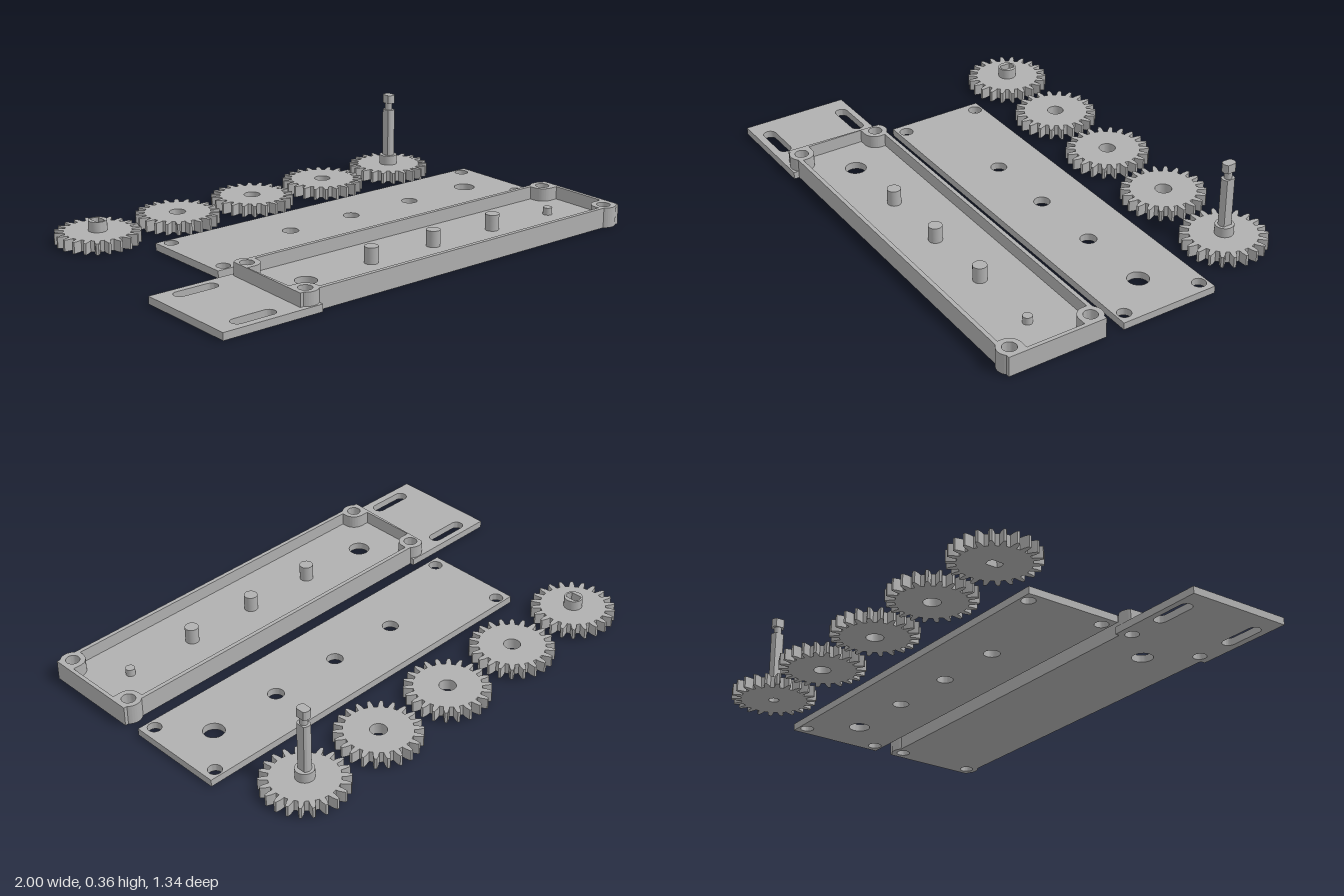
import * as THREE from 'three';
import { toCreasedNormals } from 'three/addons/utils/BufferGeometryUtils.js';

export function createModel() {
  const grey = new THREE.MeshStandardMaterial({ color: 0xb0b0b0 });
  grey.name = 'plain grey';
  const model = new THREE.Group();
  model.name = 'gearboxKit';

  // Shapes are drawn in plan (shape y = world z) and extruded between two heights
  const slab = (name, shape, holes, bottom, top, parent = model) => {
    shape.holes.push(...holes);
    const g = new THREE.ExtrudeGeometry(shape, { depth: top - bottom, bevelEnabled: false, curveSegments: 16 });
    g.rotateX(Math.PI / 2).translate(0, top, 0);
    return add(name, toCreasedNormals(g, 0.45), parent);
  };
  const add = (name, geometry, parent = model) => {
    const mesh = new THREE.Mesh(geometry, grey);
    mesh.name = name;
    parent.add(mesh);
    return mesh;
  };
  const post = (name, x, z, r, bottom, top, parent = model) =>
    add(name, new THREE.CylinderGeometry(r, r, top - bottom, 32).translate(x, (top + bottom) / 2, z), parent);
  const polygon = (pts) => new THREE.Shape(pts.map(([x, z]) => new THREE.Vector2(x, z)));
  const circle = (x, z, r) => new THREE.Shape().absarc(x, z, r, 0, Math.PI * 2, false);
  const slot = (x0, x1, z, r) => new THREE.Shape()
    .absarc(x1 - r, z, r, -Math.PI / 2, Math.PI / 2, false)
    .absarc(x0 + r, z, r, Math.PI / 2, Math.PI * 1.5, false)
    .closePath();
  // Circle with two flats facing left and right
  const flatted = (r, half) => {
    const a = Math.acos(half / r);
    return new THREE.Shape()
      .absarc(0, 0, r, a, Math.PI - a, false)
      .absarc(0, 0, r, Math.PI + a, Math.PI * 2 - a, false)
      .closePath();
  };

  const endX = [-0.6, 0.95], axleX = [-0.145, 0.17, 0.488];
  const cornerHoles = (z0, z1) => endX.flatMap((x) => [circle(x, z0, 0.028), circle(x, z1, 0.028)]);

  // Lid
  slab('lid', polygon([[-0.65, -0.265], [1, -0.265], [1, 0.152], [-0.65, 0.152]]), [
    ...cornerHoles(-0.229, 0.115),
    ...axleX.map((x) => circle(x, -0.057, 0.033)),
    circle(0.805, -0.057, 0.043),
  ], 0, 0.03);

  // Tray: floor with mounting tab, then walls with screw bosses
  const zA = 0.23, zB = 0.645, bossA = 0.265, bossB = 0.61, bossR = 0.05, mid = 0.4375;
  const swell = Math.asin((bossA - zA) / bossR);
  const bulgeA = (s, x) => s.absarc(x, bossA, bossR, Math.PI + swell, Math.PI * 2 - swell, false);
  const bulgeB = (s, x) => s.absarc(x, bossB, bossR, swell, Math.PI - swell, false);

  const floor = new THREE.Shape().moveTo(-1, 0.212).lineTo(-0.565, 0.212).lineTo(-0.565, zA);
  bulgeA(floor, endX[1]);
  floor.lineTo(1, zA).lineTo(1, zB);
  bulgeB(floor, endX[1]);
  floor.lineTo(-0.565, zB).lineTo(-0.565, 0.667).lineTo(-1, 0.667).closePath();
  slab('trayFloor', floor, [
    ...cornerHoles(bossA, bossB),
    circle(-0.46, mid, 0.043),
    slot(-0.925, -0.735, bossA, 0.027),
    slot(-0.925, -0.735, bossB, 0.027),
  ], 0, 0.03);

  const wall = new THREE.Shape().moveTo(-0.65, zA);
  endX.forEach((x) => bulgeA(wall, x));
  wall.lineTo(1, zA).lineTo(1, zB);
  [...endX].reverse().forEach((x) => bulgeB(wall, x));
  wall.lineTo(-0.65, zB).closePath();

  // Cavity, its corners rounded inward around the bosses
  const xi = [-0.634, 0.984], zi = [0.247, 0.628], H = Math.PI / 2;
  const cavity = new THREE.Shape().moveTo(endX[0] + bossR, zi[0])
    .lineTo(endX[1] - bossR, zi[0])
    .absarc(endX[1], bossA, bossR, Math.PI, H, true)
    .lineTo(xi[1], bossA + bossR).lineTo(xi[1], bossB - bossR)
    .absarc(endX[1], bossB, bossR, -H, -Math.PI, true)
    .lineTo(endX[1] - bossR, zi[1]).lineTo(endX[0] + bossR, zi[1])
    .absarc(endX[0], bossB, bossR, 0, -H, true)
    .lineTo(xi[0], bossB - bossR).lineTo(xi[0], bossA + bossR)
    .absarc(endX[0], bossA, bossR, H, 0, true)
    .closePath();
  slab('trayWalls', wall, [cavity, ...cornerHoles(bossA, bossB)], 0.03, 0.084);

  // Axle pins on the tray floor
  axleX.forEach((x) => post('axlePin', x, mid, 0.028, 0.025, 0.096));
  post('pivotPin', 0.805, mid, 0.019, 0.025, 0.06);

  // Gears
  const teeth = 22, pitch = Math.PI * 2 / teeth;
  const profile = [[-0.3, 0.135], [-0.23, 0.154], [-0.1, 0.173], [0.1, 0.173], [0.23, 0.154], [0.3, 0.135]];
  const gearShape = () => {
    const pts = [];
    for (let i = 0; i < teeth; i++) {
      for (const [f, r] of profile) {
        const a = Math.PI / 2 + (i + f) * pitch;
        pts.push([Math.cos(a) * r, Math.sin(a) * r]);
      }
    }
    return polygon(pts);
  };
  const gear = (name, x, bore) => {
    const group = new THREE.Group();
    group.name = name;
    group.position.set(x, 0, -0.503);
    model.add(group);
    slab('toothedDisc', gearShape(), [bore], 0, 0.047, group);
    return group;
  };
  [-0.383, -0.003, 0.378].forEach((x) => gear('idlerGear', x, circle(0, 0, 0.034)));

  // Output gear with a keyed hub
  const output = gear('outputGear', -0.764, flatted(0.03, 0.019));
  slab('keyedHub', circle(0, 0, 0.038), [flatted(0.03, 0.019)], 0.047, 0.09, output);

  // Drive gear with a flatted shaft and a notched head
  const drive = gear('driveGear', 0.758, circle(0, 0, 0.021));
  post('hub', 0, 0, 0.038, 0.035, 0.088, drive);
  slab('shaft', flatted(0.026, 0.019), [], 0.085, 0.295, drive);
  post('neck', 0, 0, 0.0155, 0.29, 0.33, drive);
  slab('shaftHead', flatted(0.026, 0.019), [], 0.325, 0.362, drive);

  return model;
}
